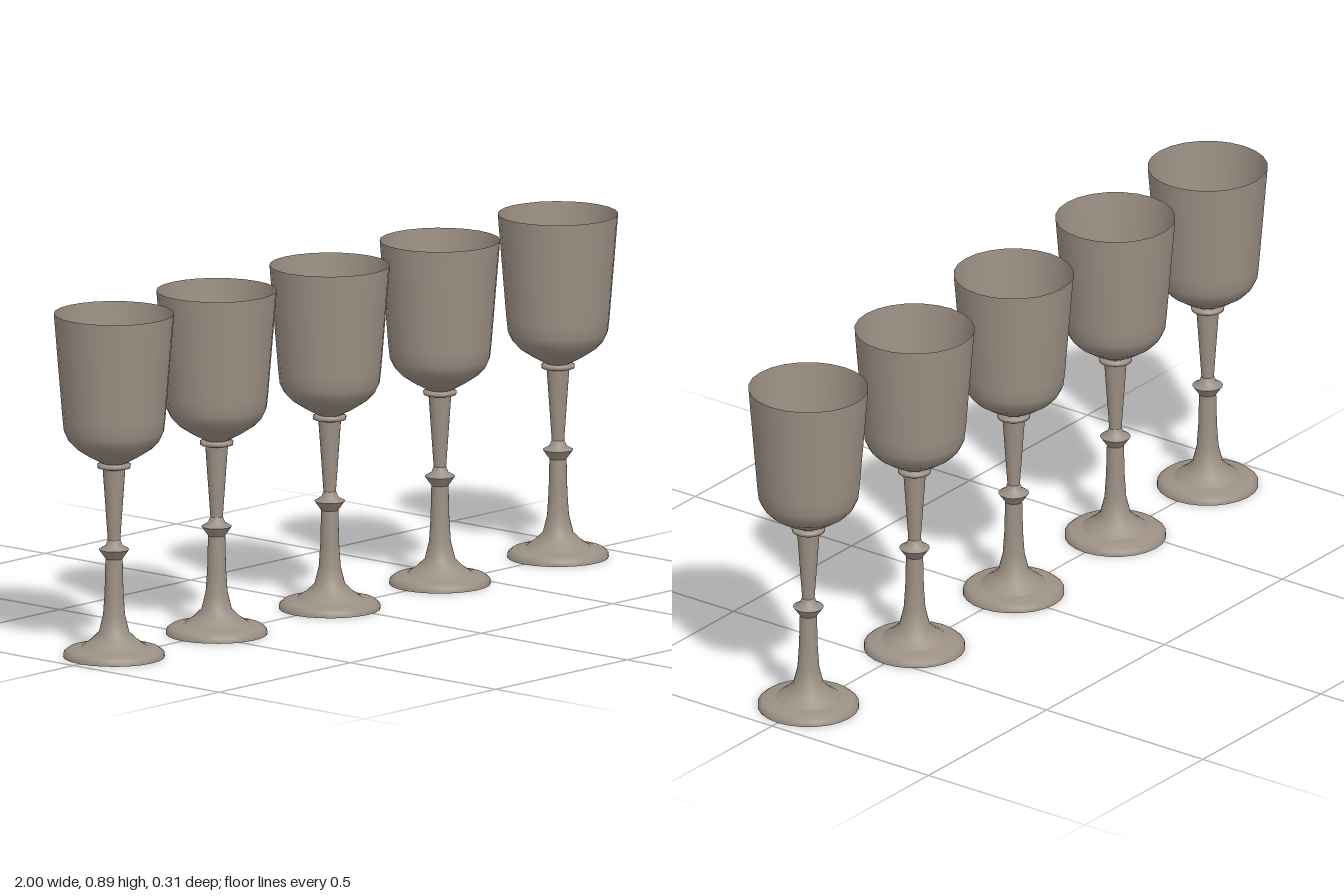
import * as THREE from 'three';

const SEGMENTS = 24;

// Each part is a [radius, height] profile, listed bottom to top
const PROFILES = {
  foot: [[0.13, 0], [0.129, 0.012], [0.118, 0.021], [0.085, 0.027]],
  footFlare: [[0.085, 0.027], [0.06, 0.044], [0.039, 0.065], [0.028, 0.11], [0.024, 0.17], [0.022, 0.256]],
  knopLower: [[0.022, 0.256], [0.039, 0.28]],
  knopUpper: [[0.039, 0.28], [0.022, 0.29], [0.016, 0.305]],
  upperStem: [[0.016, 0.305], [0.029, 0.49]],
  collar: [[0.029, 0.49], [0.042, 0.493], [0.043, 0.502], [0.03, 0.505]],
  bowl: [[0, 0.503], [0.03, 0.505], [0.064, 0.523], [0.098, 0.545], [0.117, 0.565], [0.128, 0.588], [0.132, 0.625], [0.154, 0.895]],
};

// Uneven spacing of the row
const POSITIONS = [-0.846, -0.455, -0.024, 0.396, 0.846];

export function createModel() {
  const model = new THREE.Group();
  model.name = 'gobletRow';

  // Thin open shells: hollow foot below, open bowl above
  const pewter = new THREE.MeshStandardMaterial({ color: 0x9c9084, side: THREE.DoubleSide });
  pewter.name = 'pewter';

  const parts = Object.entries(PROFILES).map(([name, points]) => [
    name,
    new THREE.LatheGeometry(points.map(([r, y]) => new THREE.Vector2(r, y)), SEGMENTS),
  ]);

  for (const x of POSITIONS) {
    const goblet = new THREE.Group();
    goblet.name = 'goblet';
    goblet.position.x = x;
    for (const [name, geometry] of parts) {
      const mesh = new THREE.Mesh(geometry, pewter);
      mesh.name = name;
      goblet.add(mesh);
    }
    model.add(goblet);
  }
  return model;
}
